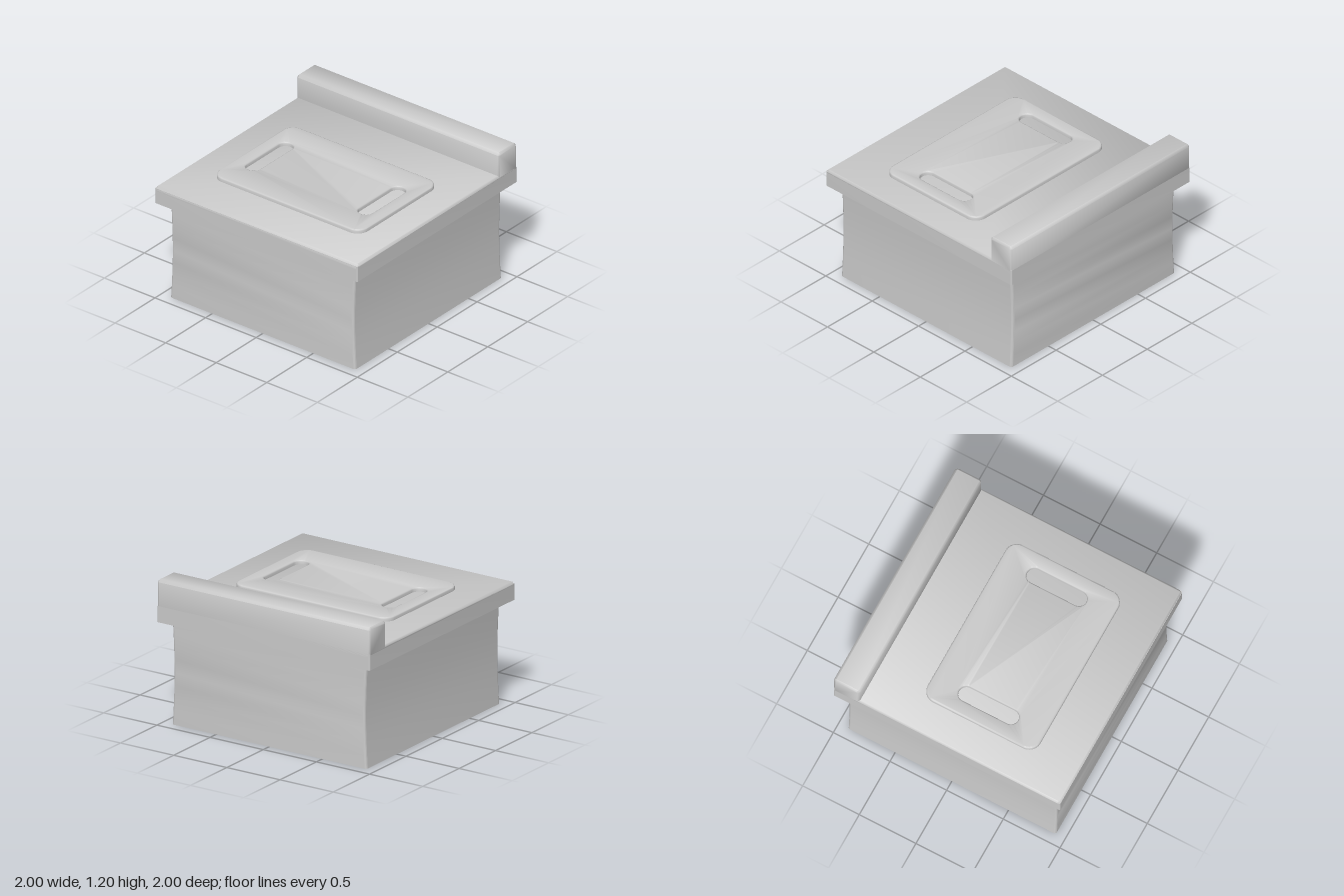
import * as THREE from 'three';
import { toCreasedNormals } from 'three/addons/utils/BufferGeometryUtils.js';

const material = new THREE.MeshStandardMaterial({ color: 0xcccccc, side: THREE.DoubleSide });

// Rounded rectangle outline centred on (cx, cy)
function roundedRect(target, cx, cy, hw, hh, r) {
  target.moveTo(cx + hw, cy - hh + r);
  target.lineTo(cx + hw, cy + hh - r);
  target.absarc(cx + hw - r, cy + hh - r, r, 0, Math.PI / 2);
  target.lineTo(cx - hw + r, cy + hh);
  target.absarc(cx - hw + r, cy + hh - r, r, Math.PI / 2, Math.PI);
  target.lineTo(cx - hw, cy - hh + r);
  target.absarc(cx - hw + r, cy - hh + r, r, Math.PI, Math.PI * 1.5);
  target.lineTo(cx + hw - r, cy - hh);
  target.absarc(cx + hw - r, cy - hh + r, r, Math.PI * 1.5, Math.PI * 2);
  target.closePath();
  return target;
}

// Extrude a plan outline upwards from y0 to y1
function extrudeUp(shape, y0, y1, bevel = 0, steps = 1) {
  const geo = new THREE.ExtrudeGeometry(shape, {
    depth: y1 - y0 - 2 * bevel, steps, curveSegments: 6,
    bevelEnabled: bevel > 0, bevelSize: bevel, bevelThickness: bevel,
    bevelOffset: -bevel, bevelSegments: 2,
  });
  geo.rotateX(-Math.PI / 2);
  geo.translate(0, y0 + bevel, 0);
  return geo;
}

function addPart(group, name, geo, crease) {
  const mesh = new THREE.Mesh(toCreasedNormals(geo, crease), material);
  mesh.name = name;
  group.add(mesh);
}

export function createModel() {
  const group = new THREE.Group();
  group.name = 'counterUnit';

  // Open-bottomed cabinet whose side walls pinch in slightly at mid height
  const wall = roundedRect(new THREE.Shape(), 0, 0, 0.915, 0.918, 0.02);
  wall.holes.push(roundedRect(new THREE.Path(), 0, 0, 0.902, 0.905, 0.012));
  const cabinet = extrudeUp(wall, 0, 0.86, 0, 8);
  const pos = cabinet.attributes.position;
  for (let i = 0; i < pos.count; i++) {
    const pinch = Math.sin(Math.PI * pos.getY(i) / 0.86);
    pos.setX(i, pos.getX(i) * (1 - 0.018 * pinch));
  }
  addPart(group, 'cabinetWalls', cabinet, 0.6);

  // Deep edge around the underside of the worktop
  const edge = roundedRect(new THREE.Shape(), 0, 0, 1, 1, 0.012);
  edge.holes.push(roundedRect(new THREE.Path(), 0, 0, 0.902, 0.905, 0.012));
  addPart(group, 'worktopEdge', extrudeUp(edge, 0.85, 0.983), 0.6);

  // Worktop and raised back ledge as one side profile swept along x
  const c = 0.02;
  const profile = new THREE.Shape([
    [-1, 0.96], [1, 0.96], [1, 1.2 - c], [1 - c, 1.2], [0.77 + c, 1.2],
    [0.77, 1.2 - c], [0.77, 1], [-1 + c, 1], [-1, 1 - c],
  ].map(([x, y]) => new THREE.Vector2(x, y)));
  const b = 0.015;
  const top = new THREE.ExtrudeGeometry(profile, {
    depth: 2 - 2 * b, bevelEnabled: true, bevelSize: b, bevelThickness: b,
    bevelOffset: -b, bevelSegments: 1,
  });
  top.translate(0, 0, -(1 - b));
  top.rotateY(Math.PI / 2);
  // Undo the bevel inset on the long faces' outer limits
  top.computeBoundingBox();
  addPart(group, 'worktopAndBackLedge', top, 0.85);

  // Cutting board with two rounded grip slots
  const board = roundedRect(new THREE.Shape(), 0, -0.133, 0.733, 0.497, 0.1);
  for (const side of [-1, 1]) {
    board.holes.push(roundedRect(new THREE.Path(), side * 0.555, -0.13, 0.064, 0.26, 0.0635));
  }
  addPart(group, 'cuttingBoard', extrudeUp(board, 0.95, 1.034, 0.012), 0.9);

  return group;
}
